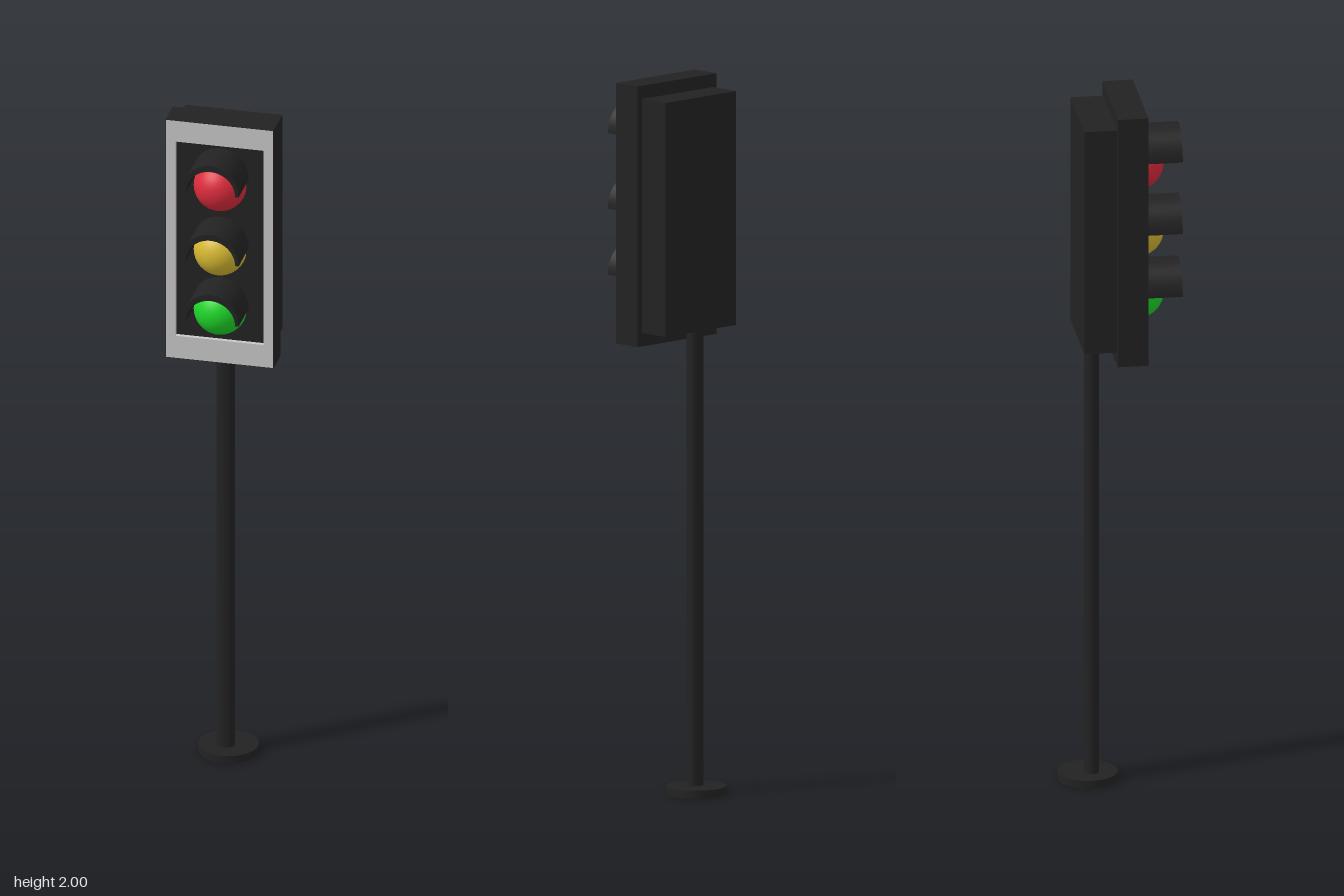
import * as THREE from 'three';

const material = (name, color) => {
  const m = new THREE.MeshStandardMaterial({ color });
  m.name = name;
  return m;
};

// Rectangle outline as a list of points
const rect = (x, y0, y1) => [[-x, y0], [x, y0], [x, y1], [-x, y1]].map(p => new THREE.Vector2(...p));

// Rectangular ring, extruded forward
function ringGeometry(outer, inner, depth) {
  const shape = new THREE.Shape(outer);
  shape.holes.push(new THREE.Path(inner));
  return new THREE.ExtrudeGeometry(shape, { depth, bevelEnabled: false });
}

export function createModel() {
  const group = new THREE.Group();
  const black = material('black paint', 0x222222);
  const grey = material('light grey trim', 0xc8c8c8);
  const red = material('red lens', 0xdc2b3c);
  const yellow = material('yellow lens', 0xd6b832);
  const green = material('green lens', 0x1fd62a);

  const add = (name, geometry, mat, x, y, z) => {
    const mesh = new THREE.Mesh(geometry, mat);
    mesh.name = name;
    mesh.position.set(x, y, z);
    group.add(mesh);
    return mesh;
  };

  // Base disc and pole
  add('base', new THREE.CylinderGeometry(0.084, 0.084, 0.022, 48), black, -0.01, 0.011, -0.085);
  const pole = add('pole', new THREE.CylinderGeometry(0.026, 0.026, 1.32, 32), black, -0.016, 0.67, -0.075);
  pole.scale.z = 0.8;

  // Signal housing
  add('backBox', new THREE.BoxGeometry(0.276, 0.658, 0.093), black, -0.001, 1.634, -0.0655);
  add('housing', new THREE.BoxGeometry(0.308, 0.733, 0.073), black, 0, 1.6335, 0.0165);

  // Dark outer edge and light frame around the recessed panel
  const edge = rect(0.153, 1.268, 1.999);
  add('housingRim', ringGeometry(rect(0.154, 1.267, 2), edge, 0.012), black, 0, 0, 0.053);
  add('frontFrame', ringGeometry(edge, rect(0.125, 1.336, 1.935), 0.012), grey, 0, 0, 0.053);

  // Arched visor section
  const arch = new THREE.Shape();
  arch.moveTo(0.08, 0);
  arch.absellipse(0, 0, 0.08, 0.088, 0, Math.PI, false);
  arch.lineTo(-0.07, 0);
  arch.absellipse(0, 0, 0.07, 0.07, Math.PI, 0, true);
  arch.closePath();
  const visor = new THREE.ExtrudeGeometry(arch, { depth: 0.12, bevelEnabled: false, curveSegments: 24 });

  // Domed lenses, each under its visor
  const lens = new THREE.SphereGeometry(0.074, 40, 20, 0, Math.PI);
  const lights = [
    ['red', red, 1.812, 1.836],
    ['yellow', yellow, 1.614, 1.624],
    ['green', green, 1.431, 1.438],
  ];
  for (const [name, mat, lensY, visorY] of lights) {
    add(name + 'Lens', lens, mat, 0, lensY, 0.055);
    add(name + 'Visor', visor, black, 0, visorY, 0.052);
  }
  return group;
}
